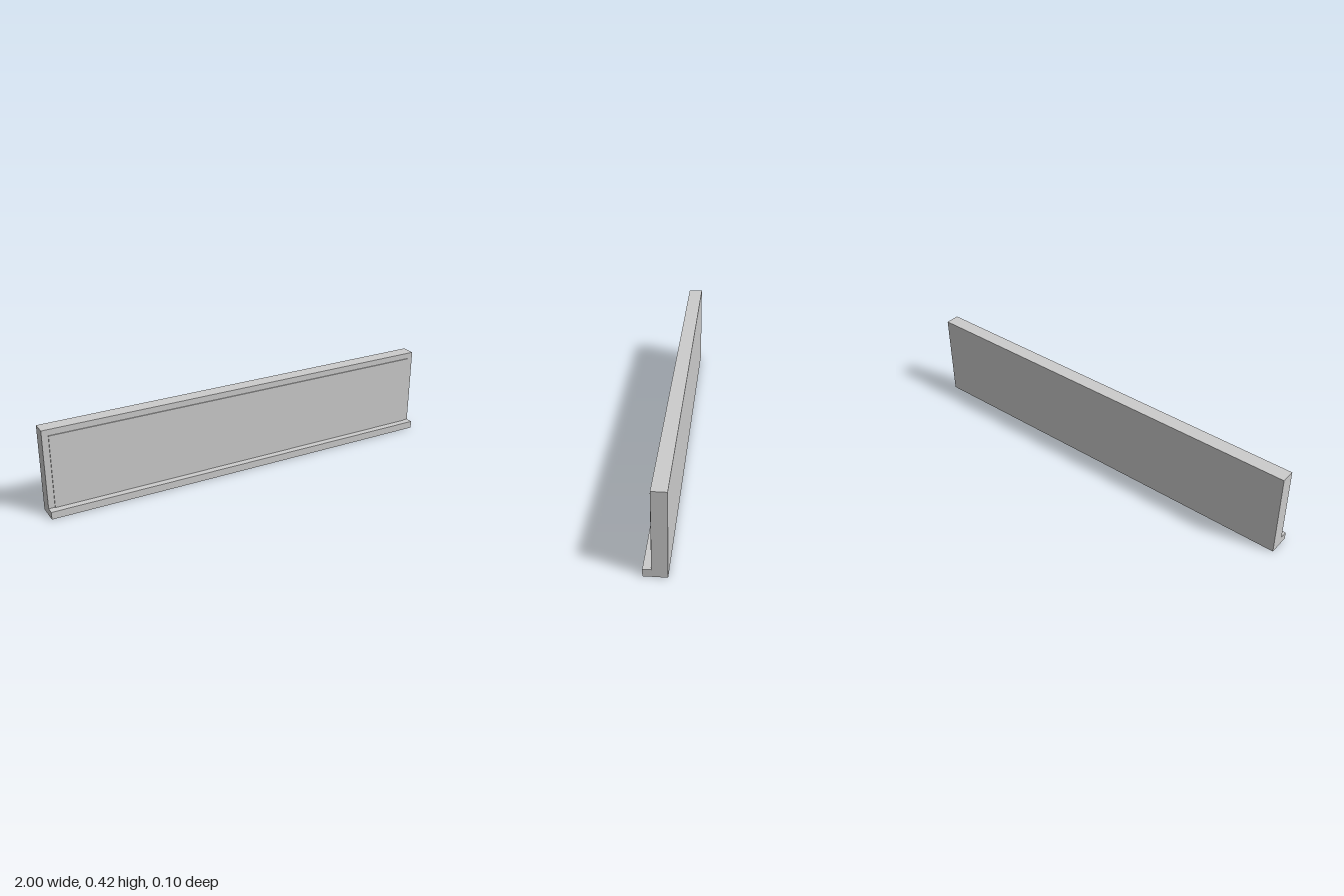
import * as THREE from 'three';

export function createModel() {
  const group = new THREE.Group();
  const material = new THREE.MeshStandardMaterial({ color: 0xcccccc, flatShading: true });

  const length = 2, height = 0.418;
  const back = -0.0525, face = 0.0155, lip = 0.0525, ledgeHeight = 0.036;

  // L-shaped board with front ledge: profile in (-z, y), extruded along x
  const profile = new THREE.Shape([
    [-lip, 0], [-back, 0], [-back, height],
    [-face, height], [-face, ledgeHeight], [-lip, ledgeHeight],
  ].map(([x, y]) => new THREE.Vector2(x, y)));
  const boardGeometry = new THREE.ExtrudeGeometry(profile, { depth: length, bevelEnabled: false });
  boardGeometry.translate(0, 0, -length / 2);
  boardGeometry.rotateY(Math.PI / 2);
  const board = new THREE.Mesh(boardGeometry, material);
  board.name = 'boardWithLedge';
  group.add(board);

  // Thin raised panel standing on the ledge
  const panelTop = 0.389, panelDepth = 0.0045;
  const panelHeight = panelTop - ledgeHeight;
  const panel = new THREE.Mesh(new THREE.BoxGeometry(1.94, panelHeight, panelDepth), material);
  panel.name = 'facePanel';
  panel.position.set(0, ledgeHeight + panelHeight / 2, face + panelDepth / 2);
  group.add(panel);

  return group;
}
